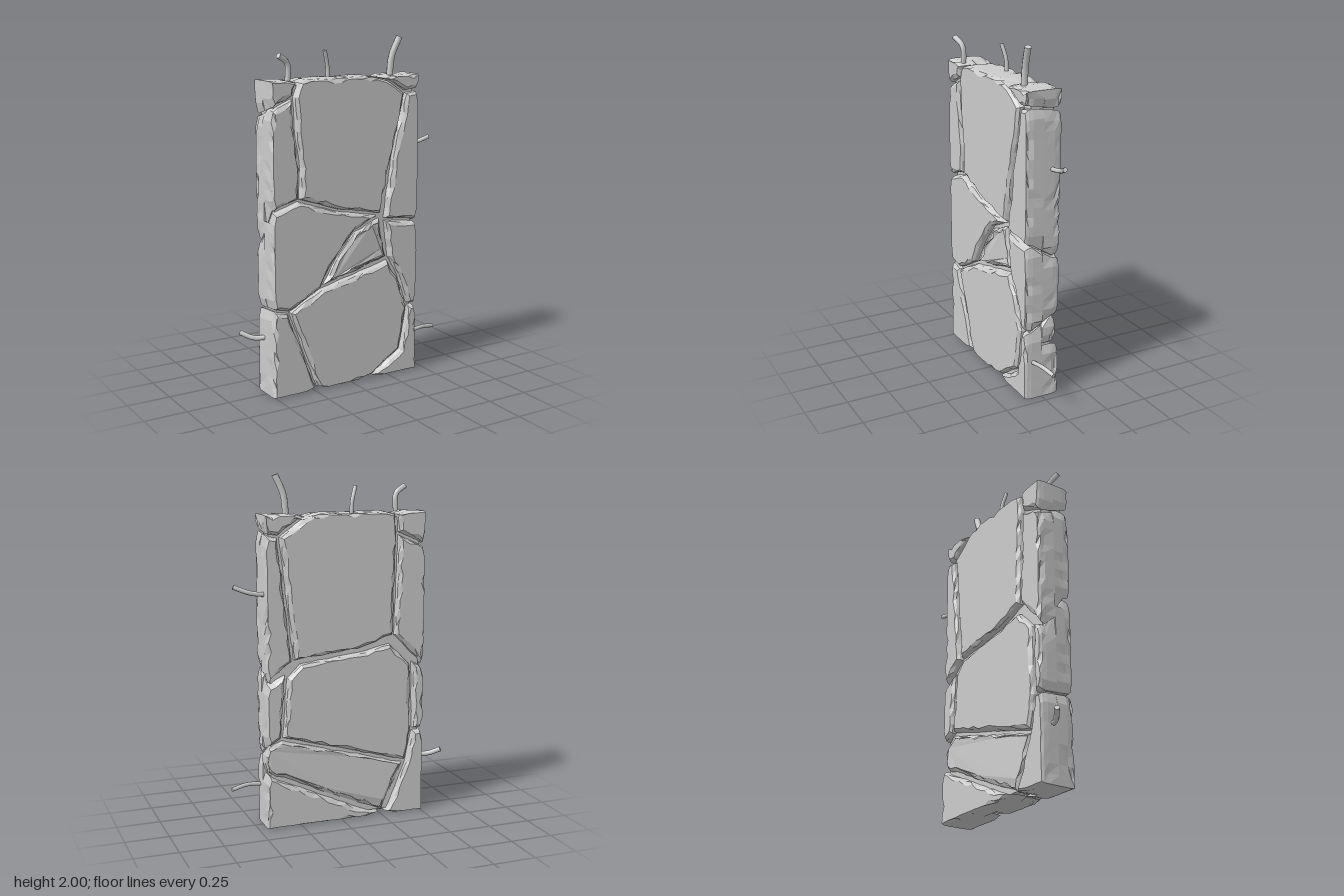
import * as THREE from 'three';

const X0 = -0.51, X1 = 0.45, Y0 = 0, Y1 = 1.78, HALF = 0.105;

// Stone outlines [x, y, ...] separated by the cracks of each face
const FRONT = [
  [-.51, 1.78, -.51, 1.63, -.37, 1.69, -.34, 1.78],
  [-.51, 1.63, -.37, 1.69, -.36, 1.5, -.33, 1.3, -.34, 1.12, -.51, 1.07],
  [-.34, 1.78, -.37, 1.69, -.36, 1.5, -.33, 1.3, -.34, 1.12, -.1, 1.04, .2, .98, .27, 1.3, .36, 1.68, .2, 1.78],
  [.2, 1.78, .36, 1.68, .45, 1.69, .45, 1.78],
  [.36, 1.68, .45, 1.69, .45, .92, .22, .95, .27, 1.3],
  [.22, .95, .45, .92, .45, .41, .39, .41, .32, .6, .25, .72],
  [-.51, 1.07, -.34, 1.12, -.1, 1.04, .2, .98, .02, .9, -.1, .76, -.2, .6, -.41, .49, -.51, .51],
  [-.41, .49, -.2, .6, .25, .71, .32, .6, .39, .4, .34, .14, .12, 0, -.23, 0],
  [-.51, .51, -.41, .49, -.23, 0, -.51, 0],
  [.39, .41, .45, .41, .45, 0, .12, 0, .34, .14],
];
const BACK = [
  [-.33, 1.78, -.34, 1.66, -.32, 1.07, -.1, 1.0, .29, .96, .37, 1.66, .2, 1.78],
  [.2, 1.78, .37, 1.66, .45, 1.67, .45, 1.78],
  [.37, 1.66, .45, 1.67, .45, .84, .29, .96],
  [-.51, 1.59, -.34, 1.66, -.32, 1.07, -.51, .88],
  [-.51, 1.78, -.51, 1.59, -.34, 1.66, -.33, 1.78],
  [.33, .87, .25, .95, -.1, .99, -.3, 1.03, -.43, .9, -.44, .5, -.4, .31, .36, .52],
  [.45, .84, .33, .9, .36, .52, .45, .48],
  [-.51, .88, -.43, .92, -.44, .5, -.51, .5],
  [.45, .32, -.25, 0, .45, 0],
  [-.51, .5, -.44, .5, -.4, .31, -.27, 0, -.51, 0],
];
// Broken-out areas, lower than the stones around them
const FRONT_CHIP = [.02, .9, .2, .97, .25, .72, .05, .66, -.2, .6, -.1, .76];
const BACK_CHIP = [.45, .48, .36, .52, -.4, .31, -.26, .01, .45, .32];
// Cracks running round the narrow sides: x, y on the front, y on the back
const SIDE_CRACKS = [[X0, 1.63, 1.59], [X0, 1.07, .88], [X0, .51, .5],
  [X1, 1.69, 1.67], [X1, .92, .84], [X1, .41, .48]];

let seed = 7;
function rand() {
  seed = (seed * 16807) % 2147483647;
  return seed / 2147483647;
}

const same = (a, b, v) => Math.abs(a - v) < 1e-4 && Math.abs(b - v) < 1e-4;
const onBorder = (a, b) => same(a.x, b.x, X0) || same(a.x, b.x, X1) || same(a.y, b.y, Y0) || same(a.y, b.y, Y1);

// Insets an outline (crack edges and border edges by their own amounts) and splits its edges into chipped pieces
function insetRing(pts, crackInset, borderInset, rough) {
  const n = pts.length;
  const edges = pts.map((a, i) => {
    const b = pts[(i + 1) % n];
    const d = b.clone().sub(a), len = d.length();
    d.normalize();
    const normal = new THREE.Vector2(-d.y, d.x);
    const border = onBorder(a, b);
    return { a, d, len, normal, border, o: a.clone().addScaledVector(normal, border ? borderInset : crackInset) };
  });
  const corners = edges.map((e, i) => {
    const p = edges[(i + n - 1) % n];
    const det = p.d.cross(e.d);
    if (Math.abs(det) < 0.1) return e.o.clone();
    const t = e.o.clone().sub(p.o).cross(e.d) / det;
    return p.o.clone().addScaledVector(p.d, t);
  });
  const ring = [];
  edges.forEach((e, i) => {
    const prev = edges[(i + n - 1) % n], steps = Math.max(1, Math.round(e.len / 0.055));
    for (let k = 0; k < steps; k++) {
      const q = corners[i].clone().lerp(corners[(i + 1) % n], k / steps);
      if (k === 0) {
        // notch where a crack meets the border
        if (e.border !== prev.border) q.addScaledVector(e.border ? e.normal : prev.normal, 0.015);
      } else {
        const r = rand();
        const chip = e.border ? (r > 0.85 ? 1 : r * 0.25) : r - 0.4;
        q.addScaledVector(e.normal, chip * rough);
      }
      q.x = THREE.MathUtils.clamp(q.x, X0, X1);
      q.y = THREE.MathUtils.clamp(q.y, Y0, Y1);
      ring.push(q);
    }
  });
  return ring;
}

// One stone: lofted rings from the middle of the slab (z = 0) to its face, closed at both ends
function stoneGeometry(flat, side, top, hollow) {
  let pts = [];
  for (let i = 0; i < flat.length; i += 2) pts.push(new THREE.Vector2(flat[i], flat[i + 1]));
  if (THREE.ShapeUtils.isClockWise(pts)) pts.reverse();

  // middle outline follows the cracks slanting across the narrow sides
  const middle = pts.map((p) => {
    const c = SIDE_CRACKS.find((s) => Math.abs(s[0] - p.x) < 1e-4 && Math.abs(s[side > 0 ? 1 : 2] - p.y) < 1e-4);
    return c ? new THREE.Vector2(p.x, (c[1] + c[2]) / 2) : p;
  });
  const levels = [
    [middle, 0, 0.006, 0, 0],
    [pts, top * 0.6, 0.006, 0, 0.006],
    [pts, top * 0.86, 0.012, 0.002, 0.014],
    [pts, top, 0.026, 0.007, 0.02],
  ];
  // every level uses the same number of pieces per edge
  const rings = levels.map(([outline, z, crack, border, rough], li) => {
    const ring = insetRing(pts, crack, border, rough);
    if (li === 0) {
      ring.forEach((q) => {
        pts.forEach((p, i) => {
          if (q.distanceTo(p) < 0.04) q.y += middle[i].y - p.y;
        });
      });
    }
    return ring.map((q) => new THREE.Vector3(q.x, q.y, z * side));
  });

  const pos = [];
  const tri = (a, b, c) => (side > 0 ? [a, b, c] : [a, c, b]).forEach((v) => pos.push(v.x, v.y, v.z));
  const n = rings[0].length;
  for (let l = 0; l < rings.length - 1; l++) {
    for (let i = 0; i < n; i++) {
      const j = (i + 1) % n, lo = rings[l], hi = rings[l + 1];
      tri(lo[i], lo[j], hi[j]);
      tri(lo[i], hi[j], hi[i]);
    }
  }
  const cap = (ring, up) => THREE.ShapeUtils.triangulateShape(ring.map((v) => new THREE.Vector2(v.x, v.y)), [])
    .forEach(([a, b, c]) => (up ? tri(ring[a], ring[b], ring[c]) : tri(ring[a], ring[c], ring[b])));
  cap(rings[0], false);
  const crown = rings[rings.length - 1];
  // uneven height gives broken areas their facets
  if (hollow) crown.forEach((v) => { v.z -= side * hollow * rand(); });
  cap(crown, true);

  const g = new THREE.BufferGeometry();
  g.setAttribute('position', new THREE.Float32BufferAttribute(pos, 3));
  g.computeVertexNormals();
  return g;
}

// Bent reinforcing rods: radius, then root, bend and tip
const RODS = [
  [.016, [-.395, 1.72, .06], [-.392, 1.87, .065], [-.455, 1.915, .085]],
  [.012, [-.07, 1.72, -.05], [-.075, 1.84, -.05], [-.1, 1.925, -.035]],
  [.019, [.285, 1.72, .035], [.3, 1.88, .035], [.345, 1.99, .045]],
  [.013, [.4, 1.34, -.05], [.52, 1.355, -.052], [.615, 1.39, -.03]],
  [.012, [.4, .22, .06], [.53, .235, .045], [.627, .22, .025]],
  [.015, [-.46, .335, -.01], [-.56, .33, -.05], [-.628, .362, -.095]],
];

export function createModel() {
  const group = new THREE.Group();
  group.name = 'crackedSlab';
  const stone = new THREE.MeshStandardMaterial({ color: 0xcccccc, flatShading: true });
  const metal = new THREE.MeshStandardMaterial({ color: 0xcccccc });
  const add = (geometry, material, name, parent = group) => {
    const mesh = new THREE.Mesh(geometry, material);
    mesh.name = name;
    parent.add(mesh);
    return mesh;
  };

  // Core forming the floor of the cracks
  const inset = 0.028;
  const core = add(new THREE.BoxGeometry(X1 - X0 - 2 * inset, Y1 - 2 * inset, 0.135), stone, 'core');
  core.position.set((X0 + X1) / 2, Y1 / 2, 0);

  // Stones on both faces
  FRONT.forEach((f) => add(stoneGeometry(f, 1, HALF, 0), stone, 'frontStone'));
  BACK.forEach((f) => add(stoneGeometry(f, -1, HALF, 0), stone, 'backStone'));
  add(stoneGeometry(FRONT_CHIP, 1, 0.092, 0.024), stone, 'frontBrokenArea');
  add(stoneGeometry(BACK_CHIP, -1, 0.086, 0.012), stone, 'backBrokenArea');

  // Rods with closed tips
  RODS.forEach(([radius, ...path]) => {
    const rod = new THREE.Group();
    rod.name = 'rod';
    const curve = new THREE.CatmullRomCurve3(path.map((p) => new THREE.Vector3(...p)));
    add(new THREE.TubeGeometry(curve, 10, radius, 8), metal, 'rodBar', rod);
    const tip = add(new THREE.CircleGeometry(radius, 8), metal, 'rodTip', rod);
    tip.position.copy(curve.getPoint(1));
    tip.quaternion.setFromUnitVectors(new THREE.Vector3(0, 0, 1), curve.getTangent(1));
    group.add(rod);
  });
  return group;
}
